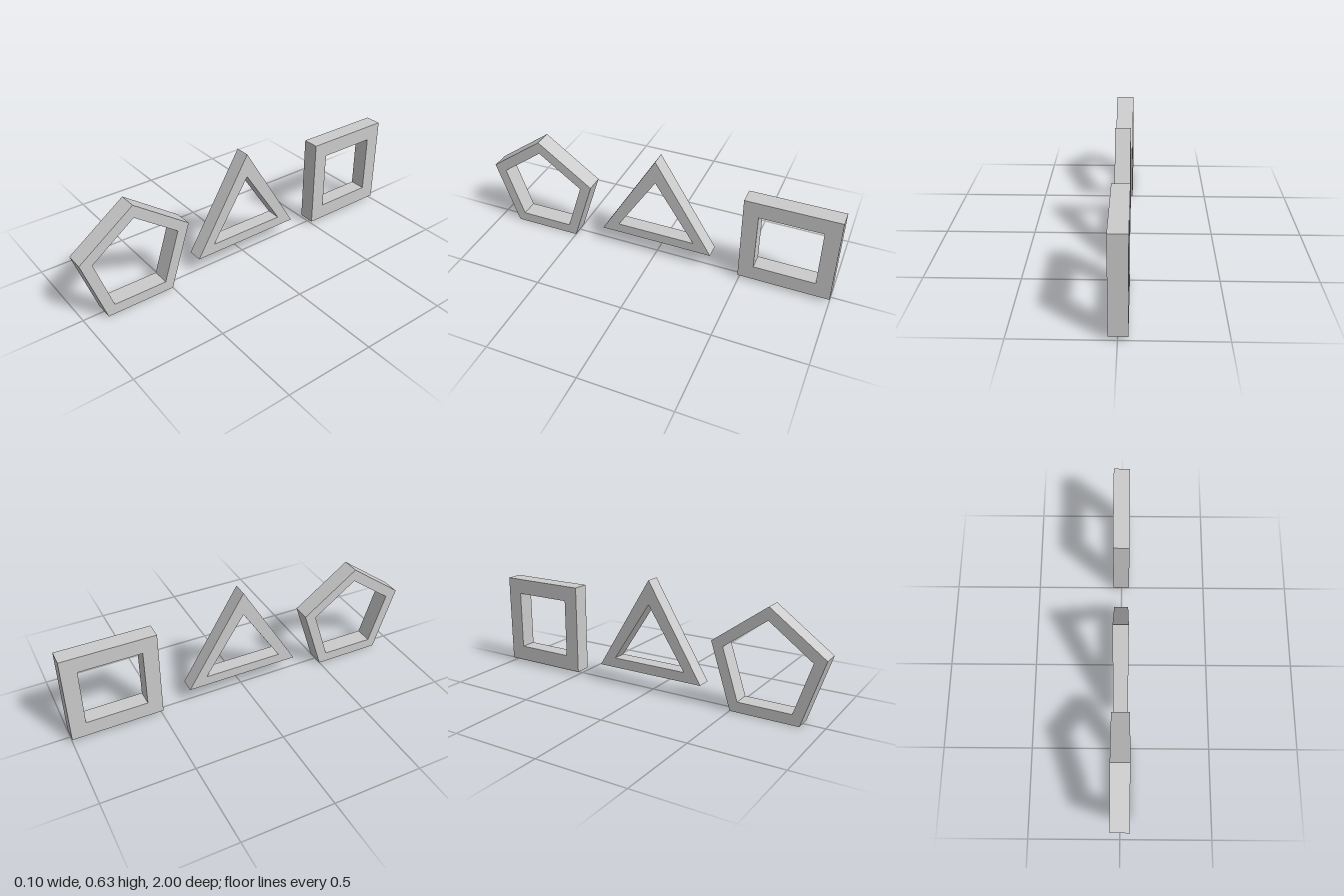
import * as THREE from 'three';

const material = new THREE.MeshStandardMaterial({ color: 0xcccccc, flatShading: true });

// Hollow polygon in the (z, y) plane, corners counter-clockwise, extruded from x0 to x1
function frame(name, outer, inner, x0, x1) {
  const toPoints = (list) => list.map(([z, y]) => new THREE.Vector2(z, y));
  const shape = new THREE.Shape(toPoints(outer));
  shape.holes.push(new THREE.Path(toPoints(inner).reverse()));
  const geometry = new THREE.ExtrudeGeometry(shape, { depth: x1 - x0, bevelEnabled: false });
  geometry.rotateY(-Math.PI / 2).translate(x1, 0, 0);
  const mesh = new THREE.Mesh(geometry, material);
  mesh.name = name;
  return mesh;
}

const rectangle = (z0, z1, y0, y1) => [[z0, y0], [z1, y0], [z1, y1], [z0, y1]];

export function createModel() {
  const group = new THREE.Group();
  group.name = 'polygonFrames';

  // Pentagon at the front
  group.add(frame('pentagonFrame',
    [[0.691, 0.589], [0.382, 0.365], [0.5, 0], [0.882, 0], [1, 0.365]],
    [[0.691, 0.518], [0.449, 0.342], [0.541, 0.058], [0.841, 0.058], [0.933, 0.342]],
    -0.05, 0.05));

  // Triangle in the middle
  group.add(frame('triangleFrame',
    [[-0.004, 0.633], [0.32, 0.099], [-0.329, 0.099]],
    [[-0.004, 0.499], [0.219, 0.155], [-0.228, 0.155]],
    -0.043, 0.04));

  // Square at the back
  group.add(frame('squareFrame',
    rectangle(-1, -0.493, 0.02, 0.529),
    rectangle(-0.915, -0.576, 0.107, 0.441),
    -0.048, 0.044));

  return group;
}
